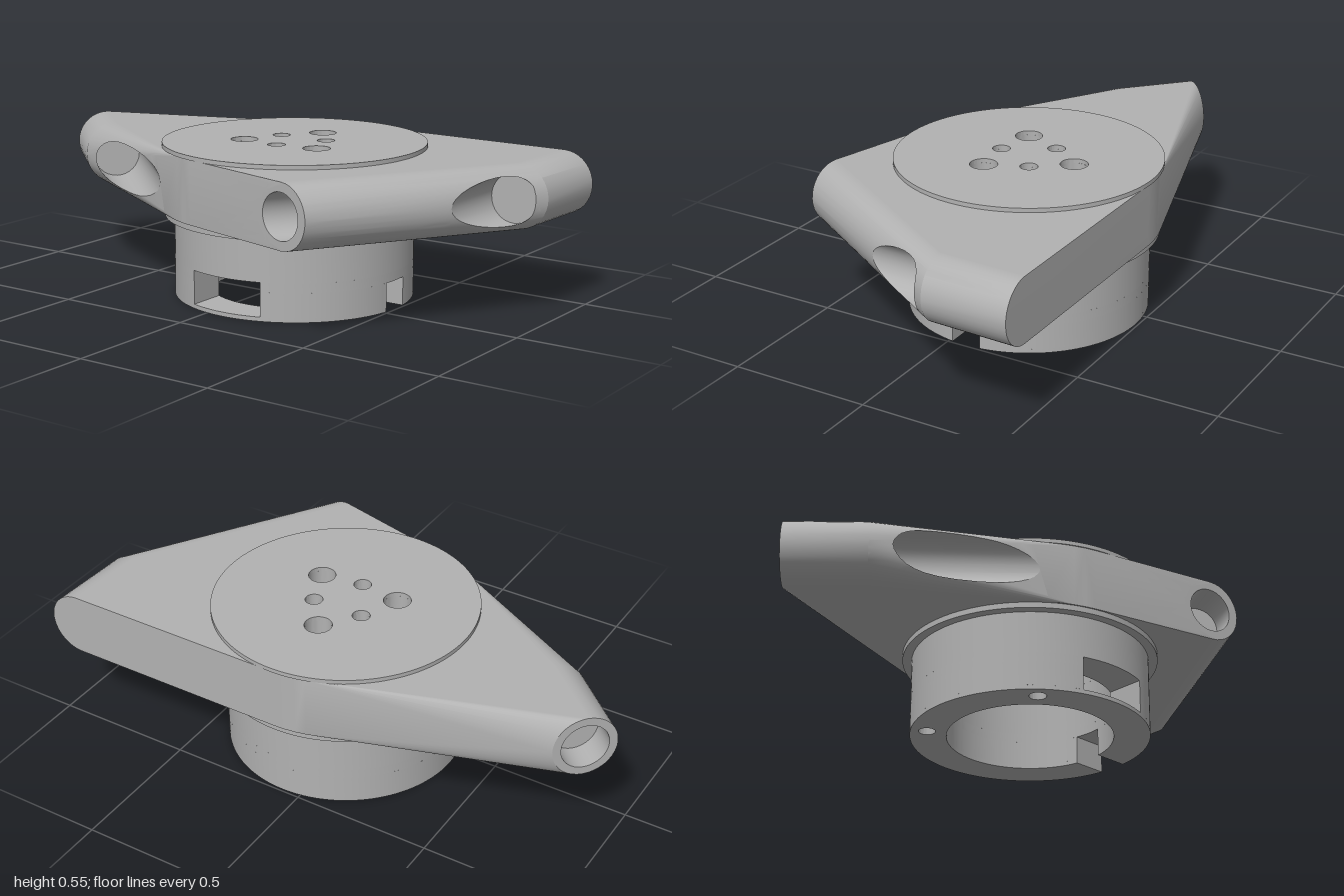
import * as THREE from 'three';
import { toCreasedNormals } from 'three/addons/utils/BufferGeometryUtils.js';
import { ConvexGeometry } from 'three/addons/geometries/ConvexGeometry.js';

const V = (x, y, z) => new THREE.Vector3(x, y, z);
const CX = 0.07, CZ = -0.067;             // hub axis
const LOW = 0.305, HIGH = 0.53;           // plate bottom and top
const MID = (LOW + HIGH) / 2, TUBE = (HIGH - LOW) / 2;
const EPS = 1e-5;

// ring of points around a centre, square to an axis
function ring(center, axis, radius, n) {
  const a = axis.clone().normalize();
  const u = (Math.abs(a.y) > 0.9 ? V(1, 0, 0) : V(0, 1, 0)).cross(a).normalize();
  const w = a.clone().cross(u);
  return Array.from({ length: n }, (_, i) => {
    const t = (i / n) * Math.PI * 2;
    return center.clone().addScaledVector(u, Math.cos(t) * radius).addScaledVector(w, Math.sin(t) * radius);
  });
}

// round convex cutter as outward facing polygons
function cutter(start, axis, length, radius, n = 32) {
  const a = axis.clone().normalize();
  const p = ring(start, a, radius, n);
  const q = p.map((v) => v.clone().addScaledVector(a, length));
  const sides = p.map((v, i) => [v, p[(i + 1) % n], q[(i + 1) % n], q[i]]);
  return [...sides, [...p].reverse(), q];
}

const planeOf = (poly) => new THREE.Plane().setFromCoplanarPoints(poly[0], poly[1], poly[2]);

// split a polygon by a plane into front and back pieces
function split(poly, plane) {
  const d = poly.map((v) => plane.distanceToPoint(v));
  if (d.every((k) => k <= EPS)) return [null, poly];
  if (d.every((k) => k >= -EPS)) return [poly, null];
  const front = [], back = [];
  poly.forEach((v, i) => {
    const j = (i + 1) % poly.length;
    if (d[i] >= -EPS) front.push(v);
    if (d[i] <= EPS) back.push(v);
    if ((d[i] > EPS && d[j] < -EPS) || (d[i] < -EPS && d[j] > EPS)) {
      const m = v.clone().lerp(poly[j], d[i] / (d[i] - d[j]));
      front.push(m);
      back.push(m);
    }
  });
  return [front.length > 2 ? front : null, back.length > 2 ? back : null];
}

// pieces of a polygon outside a convex solid
function outside(poly, planes) {
  const kept = [];
  let rest = poly;
  for (const plane of planes) {
    const [front, back] = split(rest, plane);
    if (front) kept.push(front);
    if (!back) return [poly];
    rest = back;
  }
  return kept;
}

// piece of a polygon inside a convex solid
function inside(poly, planes) {
  for (const plane of planes) {
    poly = split(poly, plane)[1];
    if (!poly) return null;
  }
  return poly;
}

// convex solid with round holes cut into it
function drill(hull, cutters) {
  const pos = hull.attributes.position, faces = [];
  const tri = new THREE.Triangle();
  for (let i = 0; i < pos.count; i += 3) {
    tri.setFromAttributeAndIndices(pos, i, i + 1, i + 2);
    if (tri.getArea() > 1e-7) faces.push([tri.a.clone(), tri.b.clone(), tri.c.clone()]);
  }
  const hullPlanes = faces.map(planeOf);
  const cutPlanes = cutters.map((c) => c.map(planeOf));
  let polys = faces;
  cutPlanes.forEach((planes) => { polys = polys.flatMap((p) => outside(p, planes)); });
  cutters.forEach((c, k) => {
    let walls = c.map((p) => inside(p, hullPlanes)).filter(Boolean);
    cutPlanes.forEach((planes, j) => { if (j !== k) walls = walls.flatMap((p) => outside(p, planes)); });
    polys = polys.concat(walls.map((p) => [...p].reverse()));
  });
  const points = [];
  for (const p of polys) {
    for (let i = 1; i < p.length - 1; i++) {
      if (new THREE.Triangle(p[0], p[i], p[i + 1]).getArea() > 1e-9) points.push(p[0], p[i], p[i + 1]);
    }
  }
  const geo = toCreasedNormals(new THREE.BufferGeometry().setFromPoints(points), 0.4);
  // keep the level faces perfectly flat
  const normal = geo.attributes.normal, n = V(0, 0, 0);
  for (let i = 0; i < points.length; i += 3) {
    new THREE.Triangle(points[i], points[i + 1], points[i + 2]).getNormal(n);
    if (Math.abs(n.y) > 0.9995) for (let j = 0; j < 3; j++) normal.setXYZ(i + j, 0, Math.sign(n.y), 0);
  }
  return geo;
}

const circle = (x, z, r, Type = THREE.Path) => new Type().absarc(x, z, r, 0, Math.PI * 2, false);

// slab drawn in x and z, filling bottom to top
function slab(shapes, bottom, top) {
  const geo = new THREE.ExtrudeGeometry(shapes, { depth: top - bottom, bevelEnabled: false, curveSegments: 64 });
  return toCreasedNormals(geo.rotateX(Math.PI / 2).translate(CX, top, CZ), 0.5);
}

// annulus interrupted by straight sided gaps
function wall(outer, inner, gaps) {
  if (!gaps.length) {
    const full = circle(0, 0, outer, THREE.Shape);
    full.holes.push(circle(0, 0, inner));
    return [full];
  }
  return gaps.map((g, i) => {
    const next = gaps[(i + 1) % gaps.length];
    const end = next.angle + (i === gaps.length - 1 ? Math.PI * 2 : 0);
    const at = (gap, r) => Math.asin(gap.half / r);
    return new THREE.Shape()
      .absarc(0, 0, outer, g.angle + at(g, outer), end - at(next, outer), false)
      .absarc(0, 0, inner, end - at(next, inner), g.angle + at(g, inner), true);
  });
}

export function createModel() {
  const group = new THREE.Group();
  const grey = new THREE.MeshStandardMaterial({ color: 0xb2b2b2 });
  grey.name = 'grey';
  const add = (name, geo) => {
    const mesh = new THREE.Mesh(geo, grey);
    mesh.name = name;
    group.add(mesh);
  };

  // three short tubes blended with the round hub
  const leftAxis = V(0.73, 0, 0.68), frontAxis = V(-0.22, 0, 0.97), up = V(0, 1, 0);
  const tubes = [
    [V(-0.925, MID, -0.22), leftAxis], [V(-0.713, MID, -0.023), leftAxis],
    [V(0.885, MID, -0.526), V(0, 0, 1)], [V(0.873, MID, -0.22), V(0, 0, 1)],
    [V(0.413, MID, 0.5), frontAxis],
  ];
  const points = tubes.flatMap(([c, axis]) => ring(c, axis, TUBE, 36));
  [LOW, HIGH].forEach((y) => points.push(...ring(V(CX, y, CZ), up, 0.462, 72)));

  // bolt pattern on the hub: three wide blind holes, three narrow through holes
  const bolts = [];
  for (let i = 0; i < 3; i++) {
    const a = -Math.PI / 2 + (i * Math.PI * 2) / 3;
    bolts.push({ x: Math.cos(a) * 0.177, z: Math.sin(a) * 0.177, r: 0.048, y: 0.45 });
    bolts.push({ x: -Math.cos(a) * 0.11, z: -Math.sin(a) * 0.11, r: 0.031, y: 0.35 });
  }
  const cutters = [
    cutter(V(0.88, MID, -0.18), V(0, 0, 1), 0.6, 0.085),
    cutter(V(-0.713, MID, -0.023), leftAxis, 0.9, 0.085),
    cutter(V(-0.852, MID, -0.152), V(-0.73, 0, -0.68), 0.3, 0.083),
    cutter(V(0.485, MID, 0.365), V(-0.5, 0, 0.87), 0.4, 0.08),
    cutter(V(CX, 0.2, CZ), up, 0.2, 0.295, 64),
    ...bolts.map((b) => cutter(V(CX + b.x, b.y, CZ + b.z), up, 0.3, b.r)),
  ];
  add('gripPlate', drill(new ConvexGeometry(points), cutters));

  // raised top disc
  const disc = circle(0, 0, 0.466, THREE.Shape);
  bolts.forEach((b) => disc.holes.push(circle(b.x, b.z, b.r)));
  add('topDisc', slab(disc, HIGH, 0.545));

  // collar and hollow neck, with a front window and a side notch
  add('collar', slab(wall(0.457, 0.295, []), 0.285, LOW));
  const notch = { angle: 0, half: 0.053 }, window = { angle: Math.PI / 2, half: 0.139 };
  const layers = [
    [0.135, 0.285, []], [0.102, 0.135, [window]],
    [0.015, 0.102, [notch, window]], [0, 0.015, [notch]],
  ];
  layers.forEach(([bottom, top, gaps], i) => {
    const shapes = wall(0.424, 0.295, gaps);
    // small blind holes in the lower rim
    if (i > 1) [2.27, 3.75].forEach((a) =>
      shapes[shapes.length - 1].holes.push(circle(Math.cos(a) * 0.365, Math.sin(a) * 0.365, 0.03)));
    add('neckLayer' + (i + 1), slab(shapes, bottom, top));
  });
  return group;
}
